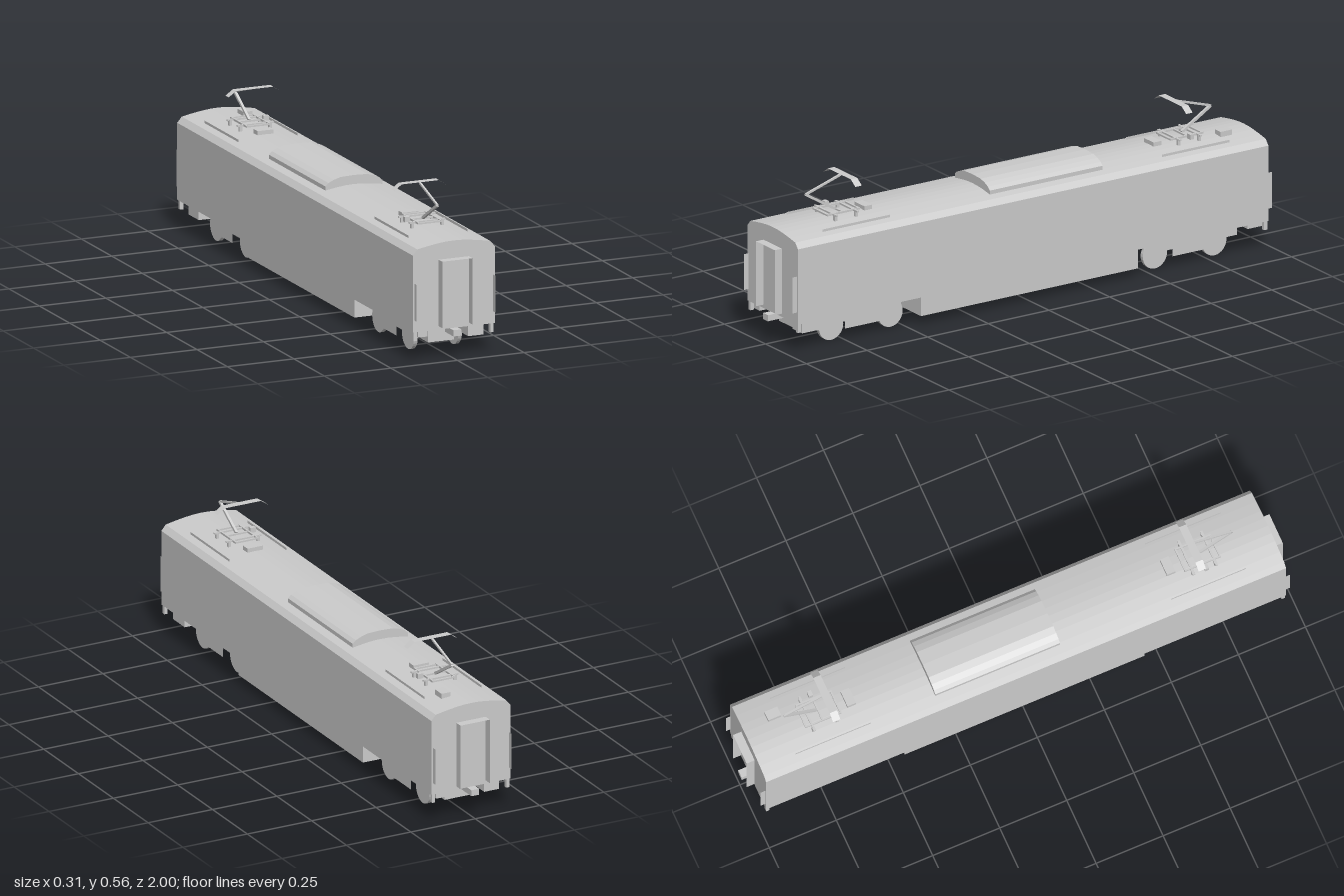
import * as THREE from 'three';

const grey = new THREE.MeshStandardMaterial({ color: 0xcccccc, flatShading: true });
const thin = new THREE.MeshStandardMaterial({ color: 0xcccccc, flatShading: true, side: THREE.DoubleSide });

function add(parent, name, geometry, material = grey) {
  const mesh = new THREE.Mesh(geometry, material);
  mesh.name = name;
  parent.add(mesh);
  return mesh;
}

// Box given by its limits on each axis
function box(parent, name, x0, x1, y0, y1, z0, z1) {
  const mesh = add(parent, name, new THREE.BoxGeometry(x1 - x0, y1 - y0, z1 - z0));
  mesh.position.set((x0 + x1) / 2, (y0 + y1) / 2, (z0 + z1) / 2);
  return mesh;
}

// Thin upright sheet along z at a given x
function sideSheet(parent, name, x, y0, y1, z0, z1) {
  const mesh = add(parent, name, new THREE.PlaneGeometry(z1 - z0, y1 - y0).rotateY(Math.PI / 2), thin);
  mesh.position.set(x, (y0 + y1) / 2, (z0 + z1) / 2);
  return mesh;
}

// Symmetric cross-section (right half, bottom to top) extruded along z
function hull(parent, name, half, z0, z1) {
  const left = half.filter(([x]) => x > 0).reverse().map(([x, y]) => [-x, y]);
  const shape = new THREE.Shape([...half, ...left].map(([x, y]) => new THREE.Vector2(x, y)));
  const geometry = new THREE.ExtrudeGeometry(shape, { depth: z1 - z0, bevelEnabled: false });
  geometry.translate(0, 0, z0);
  return add(parent, name, geometry);
}

// Square bar between two points
function bar(parent, name, a, b, size) {
  const from = new THREE.Vector3(...a), to = new THREE.Vector3(...b);
  const mesh = add(parent, name, new THREE.BoxGeometry(size, size, from.distanceTo(to)));
  mesh.position.copy(from).add(to).multiplyScalar(0.5);
  mesh.lookAt(to);
  return mesh;
}

// Single-arm current collector with its base frame
function makePantograph() {
  const g = new THREE.Group();
  g.name = 'pantograph';
  for (const s of [-1, 1]) {
    box(g, 'baseRail', s * 0.042 - 0.003, s * 0.042 + 0.003, 0.43, 0.437, 0.64, 0.775);
    for (const z of [0.665, 0.75]) {
      box(g, 'insulator', s * 0.056 - 0.005, s * 0.056 + 0.005, 0.408, 0.434, z - 0.005, z + 0.005);
    }
  }
  for (const z of [0.665, 0.75]) box(g, 'baseCrossbar', -0.068, 0.068, 0.43, 0.436, z - 0.004, z + 0.004);
  for (const z of [0.643, 0.71, 0.772]) box(g, 'frameCrossbar', -0.042, 0.042, 0.43, 0.436, z - 0.003, z + 0.003);
  box(g, 'driveUnit', -0.07, -0.05, 0.428, 0.446, 0.705, 0.72);
  bar(g, 'lowerArm', [0, 0.435, 0.715], [0, 0.508, 0.835], 0.009);
  bar(g, 'upperArm', [0, 0.508, 0.835], [0, 0.553, 0.69], 0.007);

  // Contact strip with drooping ends
  const head = new THREE.PlaneGeometry(0.196, 0.027, 7, 1).rotateX(-Math.PI / 2);
  const p = head.attributes.position;
  for (let i = 0; i < p.count; i++) {
    p.setY(i, -Math.max(0, Math.abs(p.getX(i)) - 0.07) * 0.7);
  }
  add(g, 'contactStrip', head, thin).position.set(0, 0.556, 0.682);
  return g;
}

// Two-axle bogie
function makeBogie() {
  const g = new THREE.Group();
  g.name = 'bogie';
  for (const s of [-1, 1]) {
    for (const z of [0.545, 0.79]) {
      const wheel = add(g, 'wheel', new THREE.CylinderGeometry(0.05, 0.05, 0.014, 28).rotateZ(Math.PI / 2));
      wheel.position.set(s * 0.083, 0.05, z);
    }
    box(g, 'sideFrame', s * 0.083 - 0.005, s * 0.083 + 0.005, 0.055, 0.108, 0.5, 0.84);
    sideSheet(g, 'sidePanel', s * 0.115, 0.04, 0.108, 0.6, 0.75);
  }
  return g;
}

// Everything that occurs at one end of the carriage
function makeEnd() {
  const g = new THREE.Group();
  g.name = 'carriageEnd';
  g.add(makePantograph(), makeBogie());

  // Open gangway hood
  for (const s of [-1, 1]) sideSheet(g, 'gangwaySide', s * 0.057, 0.12, 0.355, 0.97, 1);
  const hood = add(g, 'gangwayTop', new THREE.PlaneGeometry(0.114, 0.03).rotateX(-Math.PI / 2), thin);
  hood.position.set(0, 0.355, 0.985);

  // Coupler and equipment below the floor
  box(g, 'coupler', -0.015, 0.015, 0.086, 0.108, 0.93, 1);
  box(g, 'centreEquipment', -0.065, 0.033, 0.046, 0.11, 0.84, 0.9);
  box(g, 'largeEquipment', 0.07, 0.128, 0.062, 0.11, 0.85, 0.935);
  box(g, 'smallEquipment', -0.13, -0.095, 0.085, 0.11, 0.9, 0.96);
  for (const s of [-1, 1]) {
    box(g, 'footStep', s * 0.144 - 0.006, s * 0.144 + 0.006, 0.076, 0.11, 0.955, 0.968);
    sideSheet(g, 'handrail', s * 0.148, 0.15, 0.28, 0.97, 0.988);
    // Low rail beside the pantograph
    sideSheet(g, 'roofRail', s * 0.11, 0.403, 0.414, 0.56, 0.84);
  }
  box(g, 'roofJunctionBox', -0.03, 0.03, 0.412, 0.431, 0.58, 0.612);
  return g;
}

export function createModel() {
  const model = new THREE.Group();
  model.name = 'railCarriage';

  // Main body with chamfered shoulders and shallow roof arc
  hull(model, 'body', [
    [0.154, 0.108], [0.154, 0.38], [0.137, 0.4], [0.1, 0.407],
    [0.06, 0.413], [0.03, 0.416], [0, 0.417],
  ], -0.97, 0.97);

  // Roof air-conditioning housing
  hull(model, 'roofUnit', [
    [0.107, 0.402], [0.107, 0.42], [0.095, 0.431], [0.075, 0.44],
    [0.05, 0.447], [0, 0.449],
  ], -0.318, 0.147);

  // Underfloor skirt, open at the bottom
  for (const s of [-1, 1]) {
    sideSheet(model, 'skirtSide', s * 0.136, 0.033, 0.108, -0.445, 0.45);
    const end = add(model, 'skirtEnd', new THREE.PlaneGeometry(0.272, 0.075), thin);
    end.position.set(0, 0.0705, s > 0 ? 0.45 : -0.445);
  }
  box(model, 'roofEquipmentBox', 0.032, 0.066, 0.41, 0.431, -0.88, -0.832);

  const front = makeEnd();
  const rear = makeEnd();
  rear.rotation.y = Math.PI;
  model.add(front, rear);
  return model;
}
